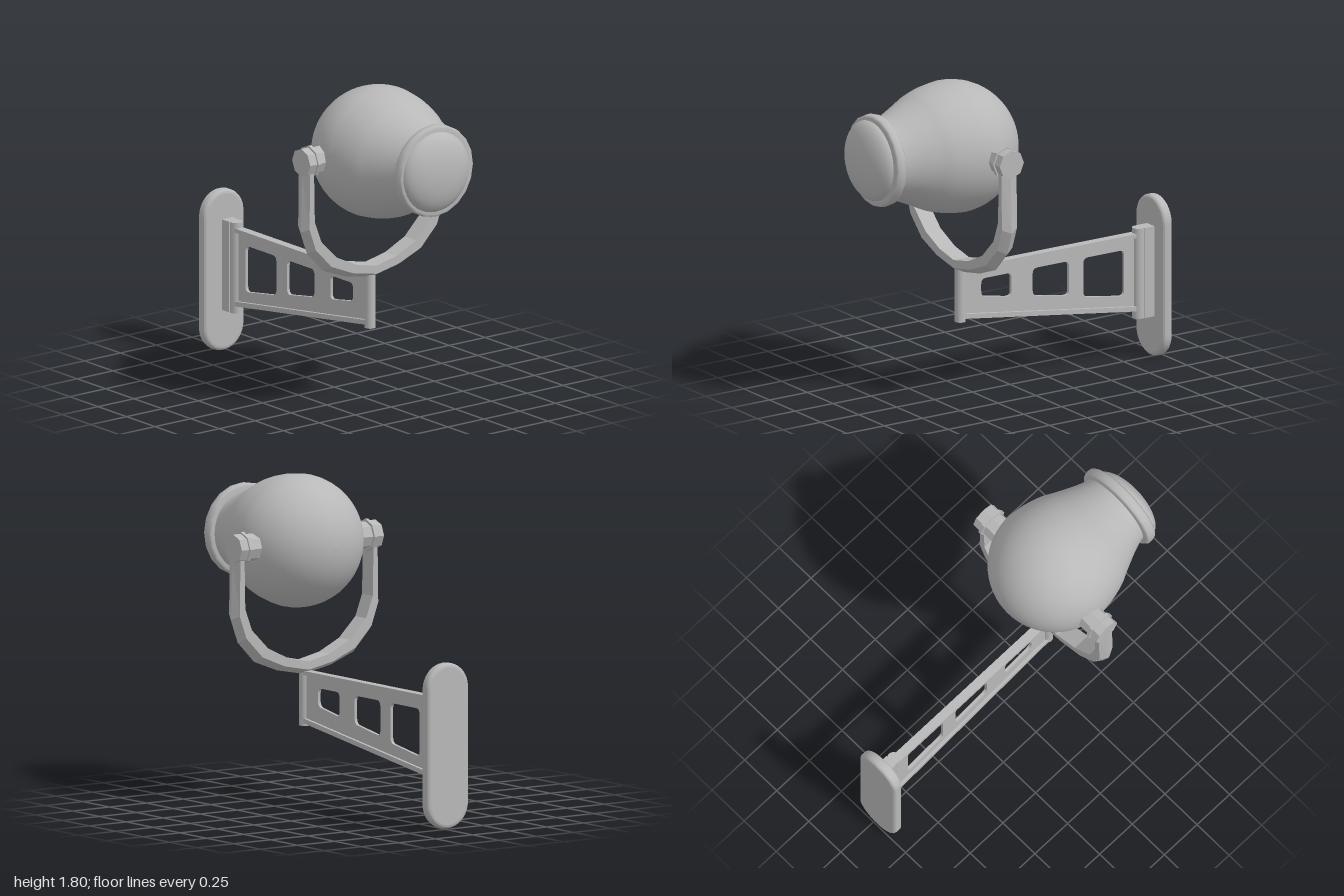
import * as THREE from 'three';

const grey = new THREE.MeshStandardMaterial({ color: 0xb8b8b8 });
grey.name = 'grey metal';
const flatGrey = grey;

const V2 = (a) => a.map(([x, y]) => new THREE.Vector2(x, y));

function add(parent, name, geometry, x = 0, y = 0, z = 0) {
  const mesh = new THREE.Mesh(geometry, flatGrey);
  mesh.name = name;
  mesh.position.set(x, y, z);
  parent.add(mesh);
  return mesh;
}

// faceted normals without a second material
function facet(geometry) {
  const g = geometry.index ? geometry.toNonIndexed() : geometry;
  g.computeVertexNormals();
  return g;
}

// solid of revolution about z, from [radius, z] pairs
const turned = (points, sides) => new THREE.LatheGeometry(points, sides).rotateX(Math.PI / 2);

// shape drawn in (z, y), extruded along x and centred
function sidePlate(shape, width) {
  return new THREE.ExtrudeGeometry(shape, { depth: width, bevelEnabled: false, curveSegments: 6 })
    .translate(0, 0, -width / 2).rotateY(-Math.PI / 2);
}

// polygon with rounded corners
function roundedPath(corners, r) {
  const p = V2(corners), n = p.length, path = new THREE.Path();
  p.forEach((c, i) => {
    const a = p[(i + n - 1) % n].clone().sub(c).setLength(r).add(c);
    const b = p[(i + 1) % n].clone().sub(c).setLength(r).add(c);
    if (i === 0) path.moveTo(a.x, a.y); else path.lineTo(a.x, a.y);
    path.quadraticCurveTo(c.x, c.y, b.x, b.y);
  });
  path.closePath();
  return path;
}

// U-shaped yoke: ridged cross-section swept between inner and outer outlines
function yokeGeometry() {
  const half = [ // inner x, y, outer x, y
    [0.435, 1.43, 0.478, 1.43], [0.435, 1.36, 0.48, 1.36], [0.43, 1.1, 0.49, 1.04],
    [0.385, 0.98, 0.445, 0.91], [0.275, 0.87, 0.335, 0.795], [0.14, 0.805, 0.18, 0.735],
  ];
  const path = [...half, [0, 0.775, 0, 0.7],
    ...half.slice().reverse().map(([a, b, c, d]) => [-a, b, -c, d])];
  const w = 0.05;
  const rings = path.map(([ix, iy, ox, oy]) =>
    [[0, -w], [0, w], [0.62, w], [1, 0], [0.62, -w]].map(([t, z]) =>
      [ix + (ox - ix) * t, iy + (oy - iy) * t, z]));
  const pos = [];
  for (let i = 0; i < rings.length - 1; i++) {
    for (let j = 0; j < 5; j++) {
      const k = (j + 1) % 5;
      const a = rings[i][j], b = rings[i][k], c = rings[i + 1][k], d = rings[i + 1][j];
      pos.push(...a, ...c, ...b, ...a, ...d, ...c);
    }
  }
  const g = new THREE.BufferGeometry();
  g.setAttribute('position', new THREE.Float32BufferAttribute(pos, 3));
  g.computeVertexNormals();
  return g;
}

export function createModel() {
  const model = new THREE.Group();
  model.name = 'wall spotlight';

  // lamp head
  const lamp = new THREE.Group();
  lamp.name = 'lampHead';
  lamp.position.y = 1.43;
  model.add(lamp);
  const profile = [];
  for (let i = 0; i <= 16; i++) {
    const a = (i / 16) * Math.PI / 2;
    profile.push([0.368 * Math.sin(a), 0.39 - 0.37 * Math.cos(a)]);
  }
  const neck = new THREE.SplineCurve(V2([[0.368, 0.39], [0.355, 0.49], [0.328, 0.585], [0.297, 0.65],
    [0.252, 0.75], [0.226, 0.82], [0.215, 0.875]]));
  add(lamp, 'housing', turned([...V2(profile), ...neck.getPoints(18).slice(1)], 48));

  const rim = V2([[0.2, 0.848], [0.245, 0.848], [0.256, 0.858], [0.259, 0.88], [0.256, 0.902], [0.245, 0.912], [0.2, 0.912]]);
  add(lamp, 'rimRing', turned(rim, 20), -0.004, 0.002, 0);

  const dome = [[0.226, 0.88]];
  for (let i = 0; i <= 12; i++) {
    const a = (i / 12) * Math.PI / 2;
    dome.push([0.226 * Math.cos(a), 0.905 + 0.093 * Math.sin(a)]);
  }
  add(lamp, 'lens', turned(V2(dome), 40), -0.016, 0.003, 0);

  // yoke and its pivots
  add(model, 'yoke', yokeGeometry(), 0, 0, 0.322);
  for (const s of [-1, 1]) {
    const pivot = new THREE.Group();
    pivot.name = s > 0 ? 'leftPivot' : 'rightPivot';
    pivot.position.set(0, 1.432, 0.315);
    model.add(pivot);
    const drum = (name, r, x0, x1) => add(pivot, name,
      facet(new THREE.CylinderGeometry(r, r, x1 - x0, 8).rotateZ(Math.PI / 2)), s * (x0 + x1) / 2, 0, 0);
    drum('pivotBoss', 0.076, 0.34, 0.412);
    drum('pivotWasher', 0.09, 0.41, 0.43);
    drum('yokeEnd', 0.08, 0.428, 0.48);
  }

  // bracket arm
  const arm = new THREE.Group();
  arm.name = 'bracketArm';
  arm.position.x = -0.01;
  model.add(arm);
  const front = 0.31, back = -0.89;
  const low = (z) => 0.43 - (0.295 - z) * 0.136; // sloping underside

  const web = new THREE.Shape(V2([[front, low(front) + 0.01], [front, 0.71], [back, 0.71], [back, low(back) + 0.01]]));
  const windows = [[0.19, -0.01, 0.535, 0.5], [-0.15, -0.39, 0.48, 0.44], [-0.485, -0.755, 0.415, 0.372]];
  for (const [z0, z1, y0, y1] of windows) {
    web.holes.push(roundedPath([[z0, 0.637], [z0, y0], [z1, y1], [z1, 0.637]], 0.032));
  }
  add(arm, 'web', sidePlate(web, 0.018));

  const strip = (name, pts) => add(arm, name, sidePlate(new THREE.Shape(V2(pts)), 0.052));
  strip('topFlange', [[front, 0.697], [front, 0.72], [back, 0.72], [back, 0.697]]);
  strip('bottomFlange', [[front, low(front)], [front, low(front) + 0.027], [back, low(back) + 0.027], [back, low(back)]]);

  add(arm, 'post', new THREE.CylinderGeometry(0.031, 0.031, 0.315, 16), 0.002, 0.573, 0.325);
  add(arm, 'mountRib', new THREE.CylinderGeometry(0.036, 0.036, 0.515, 16), 0.003, 0.4925, -0.85 - 0.003);
  add(arm, 'mountBlock', new THREE.BoxGeometry(0.072, 0.515, 0.07), 0.003, 0.4925, -0.907);

  // wall plate: rounded slab with softened edges
  const r = 0.1175, h = 0.3175;
  const slab = new THREE.Shape();
  slab.moveTo(r, -h);
  slab.lineTo(r, h);
  slab.absarc(0, h, r, 0, Math.PI, false);
  slab.lineTo(-r, -h);
  slab.absarc(0, -h, r, Math.PI, Math.PI * 2, false);
  const plate = new THREE.ExtrudeGeometry(slab, {
    depth: 0.024, bevelEnabled: true, bevelSize: 0.0225, bevelThickness: 0.02, bevelSegments: 3, curveSegments: 14,
  });
  add(model, 'wallPlate', plate, -0.022, 0.4575, -0.978);

  return model;
}
